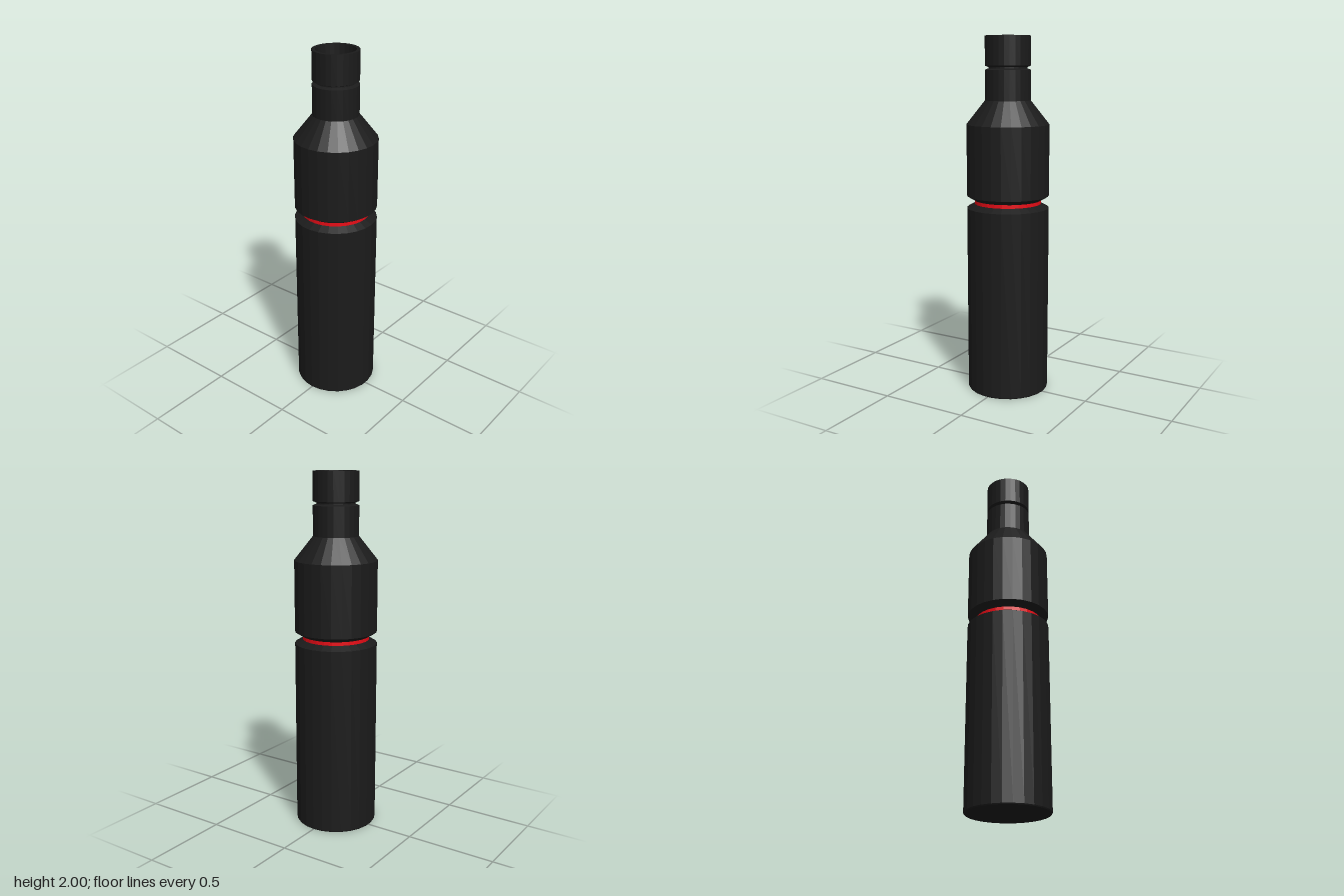
import * as THREE from 'three';

const SIDES = 26;

// Faceted solid of revolution; profile runs [radius, y] from bottom to top
function turned(name, profile, material) {
  const points = profile.map(([r, y]) => new THREE.Vector2(r, y));
  const mesh = new THREE.Mesh(new THREE.LatheGeometry(points, SIDES), material);
  mesh.name = name;
  return mesh;
}

export function createModel() {
  const black = new THREE.MeshStandardMaterial({ color: 0x1b1b1b, flatShading: true });
  const red = new THREE.MeshStandardMaterial({ color: 0xe80c16, flatShading: true });
  const R = 0.23, waist = 0.187, neck = 0.126, groove = 0.106;

  const bottle = new THREE.Group();
  bottle.name = 'bottle';
  bottle.add(
    // Closed base, straight wall, bevel into the waist
    turned('lowerBody', [[0, 0], [R - 0.003, 0], [R, 0.006], [R, 1.057], [waist, 1.08]], black),
    // Coloured ring at the bottom of the waist groove
    turned('waistRing', [[waist, 1.08], [waist, 1.1]], red),
    // Bevel out of the waist, upper wall, sloped shoulder
    turned('upperBody', [[waist, 1.1], [R, 1.125], [R, 1.522], [neck, 1.653]], black),
    // Neck up to its narrow groove
    turned('neck', [[neck, 1.653], [neck, 1.818], [groove, 1.826], [groove, 1.832]], black),
    // Cap with a thin rim and a recessed floor
    turned('cap', [[groove, 1.832], [neck, 1.84], [neck, 2], [0.108, 2], [0.108, 1.86], [0, 1.86]], black),
  );
  return bottle;
}
